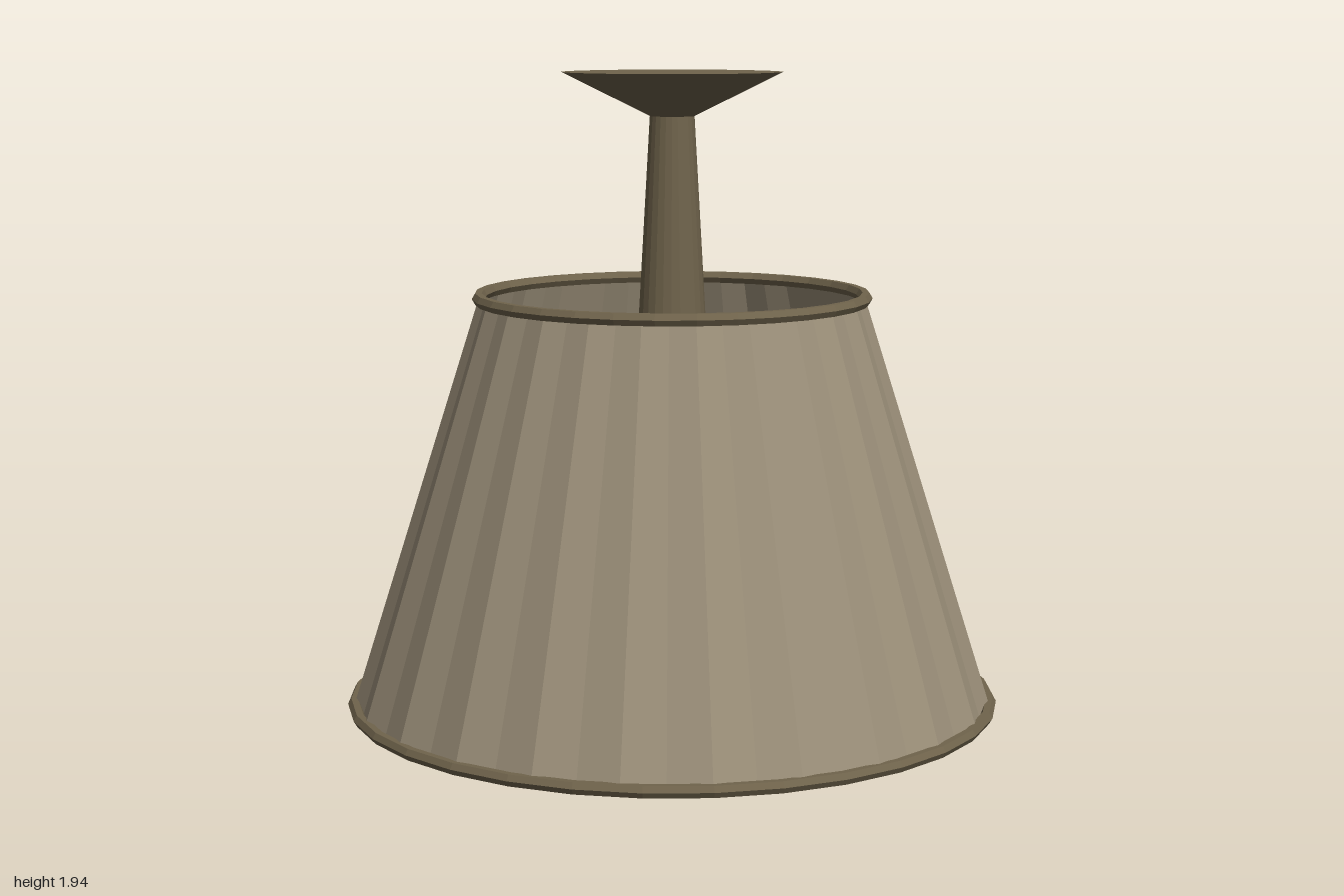
import * as THREE from 'three';

const mat = (name, color, side = THREE.FrontSide) => {
  const m = new THREE.MeshStandardMaterial({ color, flatShading: true, side });
  m.name = name;
  return m;
};

export function createModel() {
  const lamp = new THREE.Group();
  lamp.name = 'pendantLamp';

  const fabric = mat('beige fabric', 0x9c907a, THREE.DoubleSide);
  const bronze = mat('bronze metal', 0x70644c);
  const glass = mat('cream glass', 0xe0d6b8);

  const add = (name, geometry, material, y) => {
    const mesh = new THREE.Mesh(geometry, material);
    mesh.name = name;
    mesh.position.y = y;
    lamp.add(mesh);
    return mesh;
  };
  // Tapered round part between two heights
  const taper = (name, rTop, rBottom, yTop, yBottom) =>
    add(name, new THREE.CylinderGeometry(rTop, rBottom, yTop - yBottom, 24), bronze, (yTop + yBottom) / 2);

  const rimLow = 0.0173, rimHigh = 1.26;
  const rBottom = 0.98, rTop = 0.587;

  // Pleated shade: every second edge is pulled inward
  const pleats = 24;
  const shade = new THREE.CylinderGeometry(rTop, rBottom, rimHigh - rimLow, pleats * 2, 1, true);
  const p = shade.attributes.position;
  for (let i = 0; i < p.count; i++) {
    const column = i % (pleats * 2 + 1);
    const s = column % 2 === 0 ? 0.98 : 1;
    p.setXYZ(i, p.getX(i) * s, p.getY(i), p.getZ(i) * s);
  }
  shade.computeVertexNormals();
  add('shade', shade, fabric, (rimHigh + rimLow) / 2);

  // Rim rings
  const rim = (name, radius, y) =>
    add(name, new THREE.TorusGeometry(radius, 0.02, 6, 32).rotateX(Math.PI / 2), bronze, y);
  rim('bottomRim', rBottom, rimLow);
  rim('topRim', rTop, rimHigh);

  // Stem and ceiling canopy
  taper('stem', 0.067, 0.14, 1.81, 0.52);
  taper('canopy', 0.333, 0.067, 1.937, 1.805);

  // Bulb under the stem
  add('bulb', new THREE.SphereGeometry(0.15, 8, 6), glass, 0.48);

  return lamp;
}
